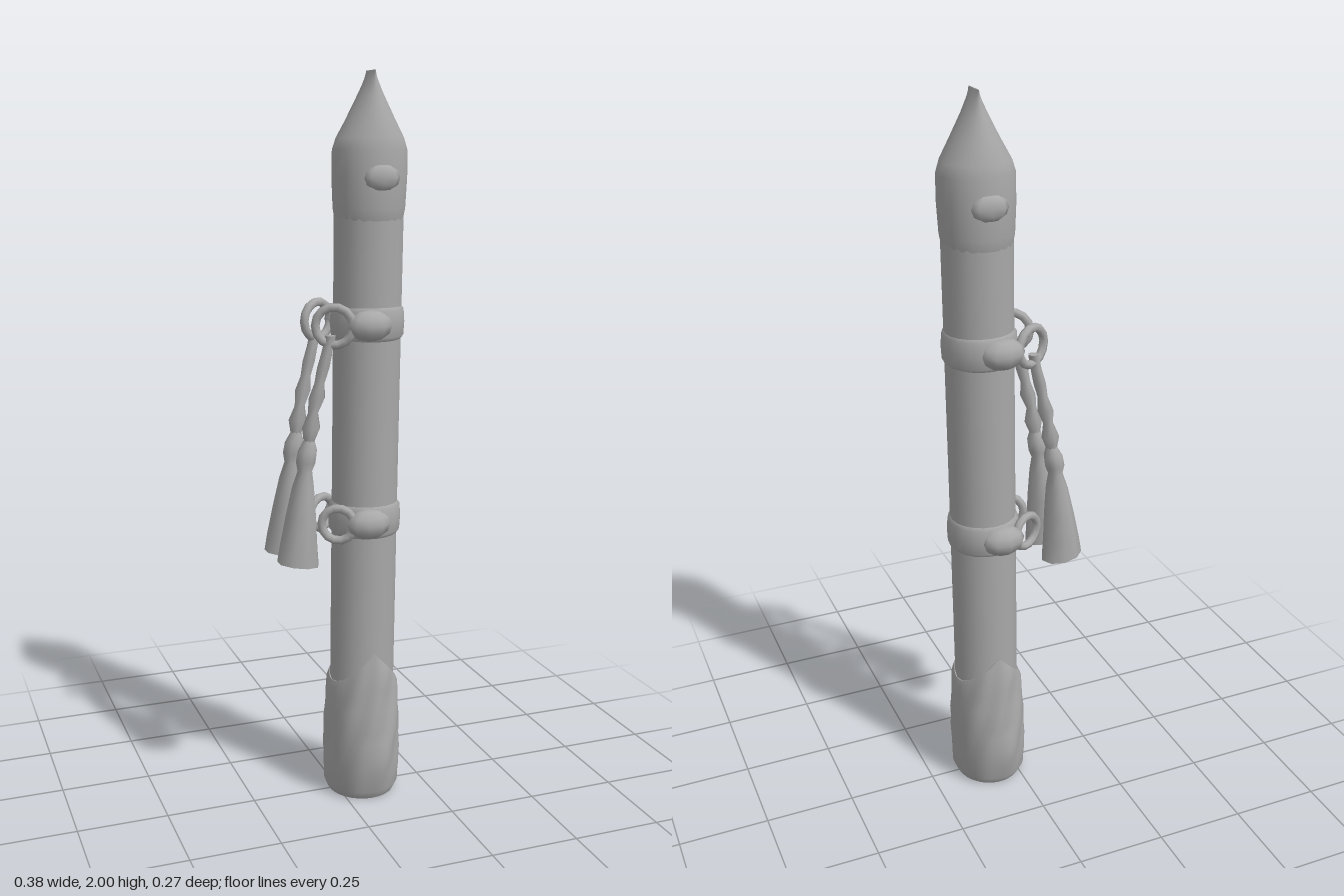
import * as THREE from 'three';

const metal = new THREE.MeshStandardMaterial({ color: 0xa8a8a8 });
metal.name = 'plain grey';

// Skin over elliptical sections [x, y, z, radiusX, radiusZ], listed bottom to top
function loft(name, sections, sides, rule) {
  const pos = [], index = [];
  sections.forEach(([x, y, z, rx, rz], i) => {
    for (let j = 0; j < sides; j++) {
      const a = (j / sides) * Math.PI * 2;
      const { k = 1, dy = 0 } = rule ? rule(a, i) : {};
      pos.push(x + Math.cos(a) * rx * k, y + dy, z + Math.sin(a) * rz * k);
    }
  });
  const last = sections.length - 1;
  for (let i = 0; i < last; i++) {
    for (let j = 0; j < sides; j++) {
      const a = i * sides + j, b = i * sides + (j + 1) % sides;
      index.push(a, a + sides, b, b, a + sides, b + sides);
    }
  }
  // end caps with their own corners, so the rims stay sharp
  for (const [row, up] of [[0, false], [last, true]]) {
    const start = pos.length / 3;
    const [x, y, z] = sections[row];
    for (let j = 0; j < sides; j++) {
      const p = (row * sides + j) * 3;
      pos.push(pos[p], pos[p + 1], pos[p + 2]);
    }
    pos.push(x, y, z);
    for (let j = 0; j < sides; j++) {
      const a = start + j, b = start + (j + 1) % sides;
      index.push(start + sides, up ? b : a, up ? a : b);
    }
  }
  const geo = new THREE.BufferGeometry();
  geo.setAttribute('position', new THREE.Float32BufferAttribute(pos, 3));
  geo.setIndex(index);
  geo.computeVertexNormals();
  const mesh = new THREE.Mesh(geo, metal);
  mesh.name = name;
  return mesh;
}

function part(name, geo, x = 0, y = 0, z = 0) {
  const mesh = new THREE.Mesh(geo, metal);
  mesh.name = name;
  mesh.position.set(x, y, z);
  return mesh;
}

// Axis of the slightly leaning shaft
const axisX = (y) => 0.071 + 0.011 * y;

export function createModel() {
  const model = new THREE.Group();
  model.name = 'ornamentedStaff';

  model.add(loft('shaft', [
    [axisX(0.2), 0.2, 0, 0.09, 0.09],
    [axisX(1), 1, 0, 0.091, 0.09],
    [axisX(1.68), 1.68, 0, 0.093, 0.09],
  ], 20));

  // Carved sleeve at the foot, rising to a point at front and back
  const foot = [
    [0, 0.094, 0.1], [0.025, 0.105, 0.115], [0.08, 0.105, 0.122], [0.13, 0.104, 0.132], [0.17, 0.104, 0.122],
    [0.21, 0.106, 0.125], [0.25, 0.104, 0.116], [0.29, 0.101, 0.112], [0.32, 0.098, 0.108], [0.335, 0.092, 0.1],
  ].map(([y, rx, rz]) => [axisX(y), y, 0, rx, rz]);
  model.add(loft('carvedFoot', foot, 40, (a, i) => {
    const lift = Math.max(0, (i - 5) / 4);
    const carved = i > 1 && i < 9 ? 0.04 : 0;
    return {
      k: 1 + carved * Math.sin(8 * a + i * 1.3) * Math.abs(Math.sin(a)),
      dy: lift * 0.1 * (1 - Math.abs(Math.cos(a))),
    };
  }));

  // Head, narrowing to a wedge whose ridge runs front to back
  model.add(loft('wedgeHead', [
    [1.62, 0.091, 0.09], [1.65, 0.096, 0.098], [1.73, 0.1, 0.101], [1.8, 0.1, 0.095],
    [1.83, 0.09, 0.09], [1.88, 0.062, 0.074], [1.94, 0.031, 0.05], [1.98, 0.011, 0.037], [2, 0.002, 0.034],
  ].map(([y, rx, rz]) => [axisX(y), y, 0, rx, rz]), 24));

  for (const side of [-1, 1]) {
    const boss = part('headBoss', new THREE.SphereGeometry(1, 8, 6), 0.09, 1.73, side * 0.092);
    boss.scale.set(0.05, 0.035, 0.02);
    model.add(boss);
  }

  // Two bands, each with a knot and a hanging loop at front and back
  for (const [y, loopX, radius] of [[1.35, -0.033, 0.05], [0.81, -0.022, 0.045]]) {
    model.add(loft('band', [
      [-0.045, 0.09, 0.09], [-0.035, 0.098, 0.098], [0, 0.1, 0.103], [0.035, 0.098, 0.098], [0.045, 0.09, 0.09],
    ].map(([dy, rx, rz]) => [axisX(y), y + dy, 0, rx, rz]), 20));
    for (const side of [-1, 1]) {
      const knot = part('bandKnot', new THREE.SphereGeometry(1, 9, 6), 0.058, y, side * 0.092);
      knot.scale.set(0.062, 0.042, 0.04);
      model.add(knot);
      const loop = part('bandLoop', new THREE.TorusGeometry(radius, 0.012, 7, 14), loopX, y, side * 0.067);
      loop.rotation.y = side * -0.48;
      model.add(loop);
    }
  }

  // Two tassels on beaded cords, hung from the upper loops
  for (const side of [-1, 1]) {
    const tassel = new THREE.Group();
    tassel.name = side > 0 ? 'frontTassel' : 'backTassel';
    const z = (d) => side * d;
    tassel.add(loft('tasselSkirt', [
      [-0.133, 0.708, z(0.058), 0.058, 0.05],
      [-0.131, 0.76, z(0.058), 0.052, 0.049],
      [-0.124, 0.84, z(0.057), 0.042, 0.043],
      [-0.117, 0.92, z(0.056), 0.03, 0.034],
      [-0.112, 0.965, z(0.056), 0.02, 0.021],
      [-0.109, 0.99, z(0.056), 0.027, 0.028],
      [-0.104, 1.02, z(0.056), 0.026, 0.026],
      [-0.099, 1.05, z(0.055), 0.014, 0.014],
    ], 9, (a, i) => (i === 0 ? { dy: -Math.cos(a) * 0.008 } : {})));
    tassel.add(loft('beadedCord', [
      [-0.1, 1.04, z(0.055), 0.014, 0.014],
      [-0.094, 1.08, z(0.057), 0.025, 0.024],
      [-0.088, 1.12, z(0.055), 0.014, 0.014],
      [-0.078, 1.16, z(0.058), 0.022, 0.022],
      [-0.07, 1.2, z(0.057), 0.014, 0.014],
      [-0.06, 1.24, z(0.059), 0.017, 0.018],
      [-0.05, 1.28, z(0.059), 0.015, 0.015],
      [-0.04, 1.325, z(0.062), 0.014, 0.014],
    ], 7));
    model.add(tassel);
  }

  return model;
}
